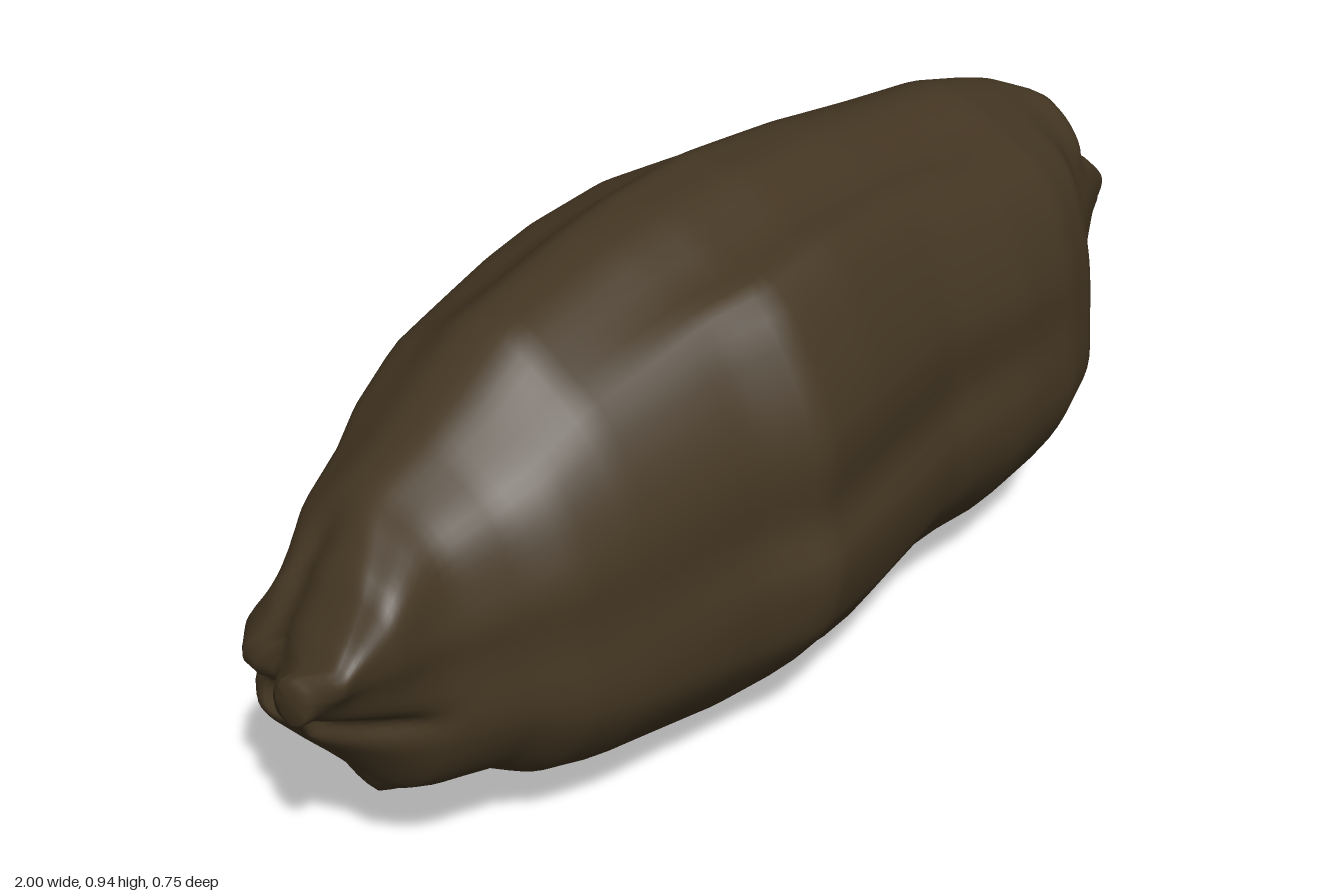
import * as THREE from 'three';

// Stations along the rock: x, top y, bottom y, front z, back z
const STATIONS = [
  [-1.0, 0.545, 0.475, 0.085, 0.025], [-0.96, 0.58, 0.41, 0.1, -0.03], [-0.93, 0.61, 0.36, 0.11, -0.12],
  [-0.88, 0.68, 0.305, 0.14, -0.17], [-0.8, 0.725, 0.2, 0.17, -0.19], [-0.66, 0.78, 0.17, 0.22, -0.25],
  [-0.59, 0.82, 0.12, 0.255, -0.29], [-0.49, 0.885, 0.09, 0.28, -0.315], [-0.25, 0.925, 0.03, 0.325, -0.36],
  [-0.14, 0.935, 0.04, 0.37, -0.375], [0.03, 0.937, 0.0, 0.345, -0.378], [0.25, 0.915, 0.05, 0.31, -0.35],
  [0.45, 0.88, 0.06, 0.312, -0.335], [0.6, 0.86, 0.095, 0.295, -0.295], [0.7, 0.83, 0.145, 0.26, -0.255],
  [0.76, 0.81, 0.21, 0.2, -0.23], [0.84, 0.77, 0.265, 0.15, -0.19], [0.89, 0.68, 0.295, 0.12, -0.15],
  [0.94, 0.61, 0.33, 0.09, -0.11], [0.975, 0.57, 0.37, 0.07, -0.05], [1.0, 0.54, 0.48, 0.065, 0.03],
];

// How much the corners swell: x, front top, front bottom, back top, back bottom
const CORNERS = [
  [-1, 0, 0, 0, 0], [-0.85, 0.06, 0.02, -0.04, 0.1], [-0.5, -0.03, 0.08, -0.03, 0.03],
  [0, 0.04, 0.02, -0.01, 0], [0.35, 0.03, 0.03, -0.02, 0.02], [0.7, 0, 0.12, -0.05, 0.05],
  [0.88, -0.05, 0.08, -0.12, 0.1], [1, 0, 0, 0, 0],
];

// Widest cross-section as z, y pairs, running top, front, bottom, back
const SECTION = [
  [-0.04, 0.937], [0.03, 0.935], [0.13, 0.88], [0.22, 0.87], [0.3, 0.76], [0.345, 0.66], [0.355, 0.6],
  [0.352, 0.51], [0.377, 0.42], [0.35, 0.3], [0.32, 0.25], [0.18, 0.09], [0.1, 0.07], [0.03, 0.03],
  [-0.05, 0], [-0.12, 0.08], [-0.18, 0.075], [-0.25, 0.16], [-0.28, 0.23], [-0.33, 0.3], [-0.365, 0.36],
  [-0.377, 0.48], [-0.345, 0.55], [-0.32, 0.66], [-0.305, 0.78], [-0.27, 0.825], [-0.17, 0.87], [-0.1, 0.93],
];

// Notches in the ragged ends: side, axis, position, width, depth
const NOTCHES = [
  [-1, 'y', 0.415, 0.03, 0.04], [-1, 'z', -0.05, 0.035, 0.03],
  [1, 'y', 0.43, 0.03, 0.035], [1, 'y', 0.655, 0.03, 0.02],
];

const RINGS = 110, SIDES = 84;
const { smoothstep } = THREE.MathUtils;

// Read a table row at x by linear interpolation
function sample(table, x) {
  let i = 0;
  while (i < table.length - 2 && x > table[i + 1][0]) i++;
  const a = table[i], b = table[i + 1];
  const t = (x - a[0]) / (b[0] - a[0]);
  return a.map((v, k) => v + (b[k] - v) * t);
}

// Scale a loop so that it reaches exactly 1 up, down, front and back
function unitLoop(points) {
  const box = new THREE.Box2().setFromPoints(points);
  return points.map(p => new THREE.Vector2(
    p.x / (p.x > 0 ? box.max.x : -box.min.x),
    p.y / (p.y > 0 ? box.max.y : -box.min.y)));
}

// Average each point with its neighbours
function soften(points, reach) {
  return points.map((_, j) => {
    const sum = new THREE.Vector2();
    for (let k = -reach; k <= reach; k++) sum.add(points[(j + k + SIDES) % SIDES]);
    return sum.divideScalar(2 * reach + 1);
  });
}

function rockGeometry() {
  const curve = new THREE.CatmullRomCurve3(SECTION.map(([z, y]) => new THREE.Vector3(z, y - 0.47, 0)), true);
  const points = curve.getPoints(SIDES).slice(0, SIDES).map(p => new THREE.Vector2(p.x, p.y));
  const rough = unitLoop(points), smooth = unitLoop(soften(points, 3));
  const pos = [], index = [];
  for (let r = 0; r <= RINGS; r++) {
    // Rings crowd toward the ends
    const s = -1 + 2 * r / RINGS;
    const x = 0.45 * s + 0.55 * Math.sin(s * Math.PI / 2);
    const [, top, bottom, front, back] = sample(STATIONS, x);
    const [, frontTop, frontBottom, backTop, backBottom] = sample(CORNERS, x);
    const end = Math.pow(Math.abs(x), 6);
    const cy = 0.47 + 0.04 * end, cz = 0.055 * end;
    const near = smoothstep(Math.abs(x), 0.75, 0.9) * (1 - smoothstep(Math.abs(x), 0.96, 1));
    // Both ends lean, crown forward and foot back
    const lean = near * (x < 0 ? 0.07 : 0.04);
    // Craggy around the waist, softer toward the ends
    const waist = Math.exp(-((x / 0.45) ** 2));
    for (let j = 0; j < SIDES; j++) {
      const a = j / SIDES * Math.PI * 2;
      const p = smooth[j].clone().lerp(rough[j], waist);
      const swell = p.x > 0 ? (p.y > 0 ? frontTop : frontBottom) : (p.y > 0 ? backTop : backBottom);
      // Lengthwise weathered ridges that drift around the rock
      const ridge = 1 + swell * Math.sin(2 * p.angle()) ** 2
        + (1 - end) * (1 - waist) * (0.01 * Math.sin(7 * a + 2.4 * x + 0.6)
        + 0.008 * Math.sin(11 * a - 5 * x + 2));
      const y = cy + p.y * ridge * (p.y > 0 ? top - cy : cy - bottom);
      const z = cz + p.x * ridge * (p.x > 0 ? front - cz : cz - back) + lean * p.y;
      let px = x;
      for (const [side, axis, at, width, depth] of NOTCHES) {
        const d = ((axis === 'y' ? y : z) - at) / width;
        if (side * x > 0) px -= side * depth * near * Math.exp(-d * d);
      }
      pos.push(px, y, z);
    }
  }
  for (let r = 0; r < RINGS; r++) {
    for (let j = 0; j < SIDES; j++) {
      const a = r * SIDES + j, b = r * SIDES + (j + 1) % SIDES;
      index.push(a, b, a + SIDES, b, b + SIDES, a + SIDES);
    }
  }
  // Close both tips
  const tip = pos.length / 3, last = RINGS * SIDES;
  pos.push(-1, 0.51, 0.055, 1, 0.51, 0.05);
  for (let j = 0; j < SIDES; j++) {
    const k = (j + 1) % SIDES;
    index.push(tip, k, j, tip + 1, last + j, last + k);
  }
  const geo = new THREE.BufferGeometry();
  geo.setAttribute('position', new THREE.Float32BufferAttribute(pos, 3));
  geo.setIndex(index);
  geo.computeVertexNormals();
  return geo;
}

export function createModel() {
  const group = new THREE.Group();
  group.name = 'rock';
  const stone = new THREE.MeshStandardMaterial({ color: 0x453723 });
  stone.name = 'dark brown stone';
  const boulder = new THREE.Mesh(rockGeometry(), stone);
  boulder.name = 'boulder';
  group.add(boulder);
  return group;
}
